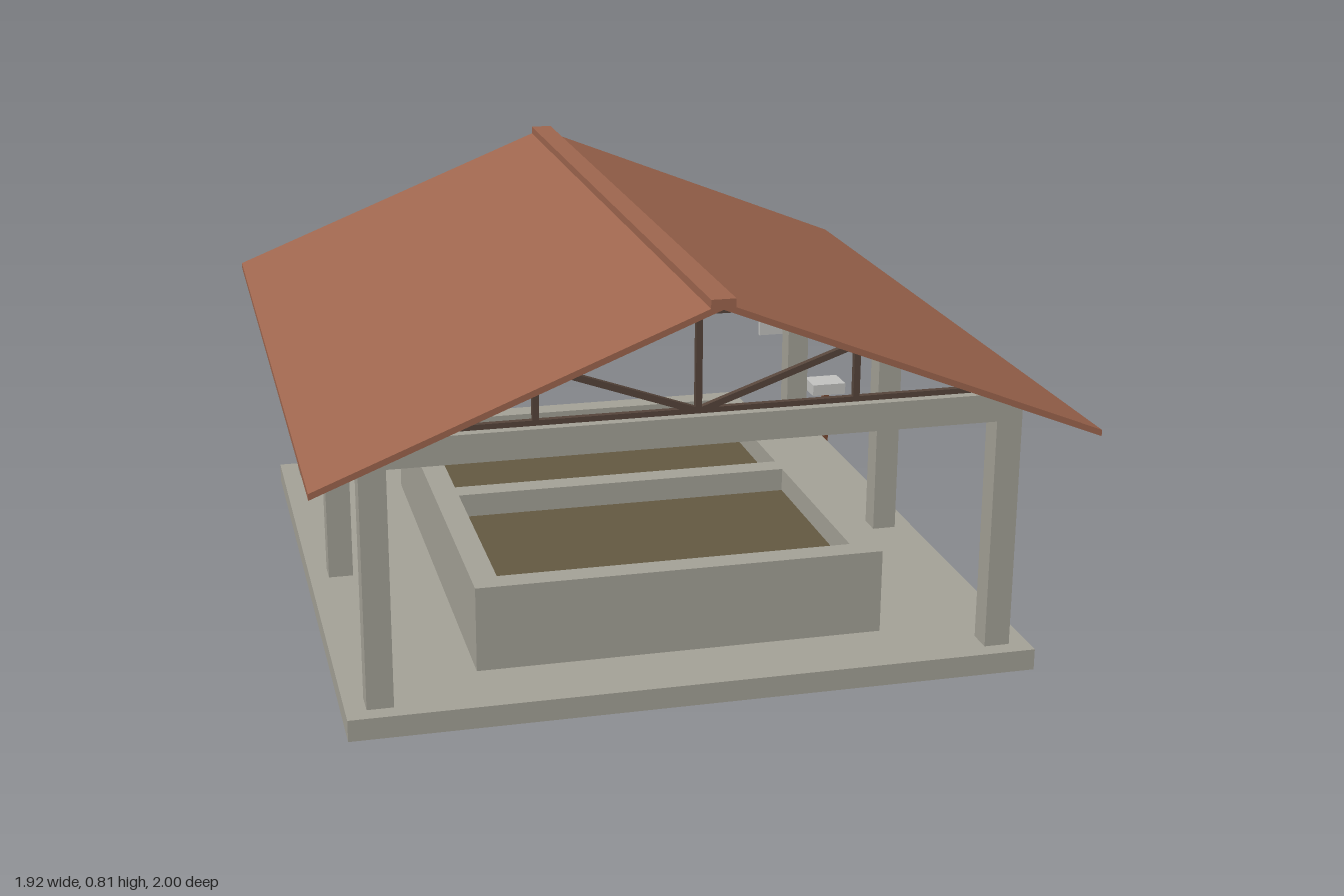
import * as THREE from 'three';

const mat = (name, color) => {
  const m = new THREE.MeshStandardMaterial({ color });
  m.name = name;
  return m;
};

export function createModel() {
  const concrete = mat('concrete', 0xa6a499);
  const tile = mat('roofTile', 0xa0674f);
  const steel = mat('trussBrown', 0x57463c);
  const soilMat = mat('soil', 0x655a42);
  const pale = mat('paleGrey', 0xc4c4c2);
  const dark = mat('darkGrey', 0x3a3a3a);
  const wood = mat('postBrown', 0x7a4a32);

  const model = new THREE.Group();
  model.name = 'pavilion';
  const body = new THREE.Group();
  body.name = 'shelter';
  body.rotation.y = -0.377; // the whole shelter stands turned on its plot
  model.add(body);

  // Box given by centre x/z, bottom y and size
  const box = (name, m, x, y, z, w, h, d, parent = body) => {
    const mesh = new THREE.Mesh(new THREE.BoxGeometry(w, h, d), m);
    mesh.position.set(x, y + h / 2, z);
    mesh.name = name;
    parent.add(mesh);
    return mesh;
  };

  // Floor slab
  box('floorSlab', concrete, 0, 0, 0, 1.322, 0.042, 1.386);

  // Columns and ring beam
  const cx = 0.597, cz = 0.633, w = 0.05;
  for (const sx of [-1, 1]) {
    for (const k of [-1, 0, 1]) box('column', concrete, sx * cx, 0.042, k * cz, w, 0.46, w);
    box('sideBeam', concrete, sx * cx, 0.5, 0, w, 0.054, 2 * cz + w);
  }
  for (const sz of [-1, 1]) box('endBeam', concrete, 0, 0.5, sz * cz, 2 * cx - w, 0.054, w);

  // Gable roof: one thin folded sheet, extruded along the ridge
  const eave = 0.516, ridge = 0.802, rx = 0.72, rz = 0.79, t = 0.012;
  const profile = new THREE.Shape();
  profile.moveTo(-rx, eave - t);
  profile.lineTo(0, ridge - t);
  profile.lineTo(rx, eave - t);
  profile.lineTo(rx, eave);
  profile.lineTo(0, ridge);
  profile.lineTo(-rx, eave);
  const roofGeo = new THREE.ExtrudeGeometry(profile, { depth: 2 * rz, bevelEnabled: false });
  roofGeo.translate(0, 0, -rz);
  const roof = new THREE.Mesh(roofGeo, tile);
  roof.name = 'roof';
  body.add(roof);
  box('ridgeCap', tile, 0, 0.79, 0, 0.045, 0.019, 2 * rz);

  // Trusses: chords, posts and diagonals under the roof
  const under = x => ridge - t - 0.007 - (Math.abs(x) / rx) * (ridge - eave);
  const bar = (parent, name, x0, y0, x1, y1) => {
    const len = Math.hypot(x1 - x0, y1 - y0);
    const mesh = new THREE.Mesh(new THREE.BoxGeometry(len, 0.012, 0.012), steel);
    mesh.position.set((x0 + x1) / 2, (y0 + y1) / 2, 0);
    mesh.rotation.z = Math.atan2(y1 - y0, x1 - x0);
    mesh.name = name;
    parent.add(mesh);
  };
  for (const k of [-1, 0, 1]) {
    const truss = new THREE.Group();
    truss.name = 'truss';
    truss.position.z = k * cz;
    body.add(truss);
    const base = 0.558;
    bar(truss, 'bottomChord', -0.57, base, 0.57, base);
    bar(truss, 'kingPost', 0, base, 0, under(0));
    for (const s of [-1, 1]) {
      bar(truss, 'topChord', s * 0.58, under(0.58), 0, under(0));
      bar(truss, 'trussPost', s * 0.3, base, s * 0.3, under(0.3));
      bar(truss, 'diagonal', s * 0.3, under(0.3), 0, base);
    }
  }

  // Walled planting bed with two compartments
  const bed = new THREE.Group();
  bed.name = 'plantingBed';
  bed.position.z = 0.027;
  body.add(bed);
  const bx = 0.4, bz = 0.515, wall = 0.05, y0 = 0.042, h = 0.168;
  for (const s of [-1, 1]) {
    box('bedSideWall', concrete, s * (bx - wall / 2), y0, 0, wall, h, 2 * bz, bed);
    box('bedEndWall', concrete, 0, y0, s * (bz - wall / 2), 2 * (bx - wall), h, wall, bed);
    const inner = bz - wall * 1.5;
    box('soil', soilMat, 0, y0, s * (wall / 2 + inner / 2), 2 * (bx - wall), 0.12, inner, bed);
  }
  box('bedDivider', concrete, 0, y0, 0, 2 * (bx - wall), h, wall, bed);

  // Framed panel on the rear of the bed
  const panelZ = -bz - 0.004;
  box('panelPlate', concrete, 0, 0.116, panelZ, 0.38, 0.044, 0.008, bed);
  for (const s of [-1, 1]) {
    box('panelRail', concrete, 0, 0.138 + s * 0.019 - 0.003, panelZ - 0.006, 0.38, 0.006, 0.006, bed);
    box('panelStile', concrete, s * 0.187, 0.119, panelZ - 0.006, 0.006, 0.038, 0.006, bed);
  }

  // Blank notice board on the rear corner column
  box('noticeBoard', pale, cx, 0.293, -cz - w / 2 - 0.006, 0.166, 0.042, 0.012);
  box('noticeStrip', dark, cx, 0.307, -cz - w / 2 - 0.0135, 0.12, 0.013, 0.003);

  // Small box on a post beside the slab
  box('boxPost', wood, 0.669, 0, -0.605, 0.015, 0.16, 0.015);
  box('postBox', pale, 0.667, 0.156, -0.605, 0.082, 0.027, 0.07);

  return model;
}
